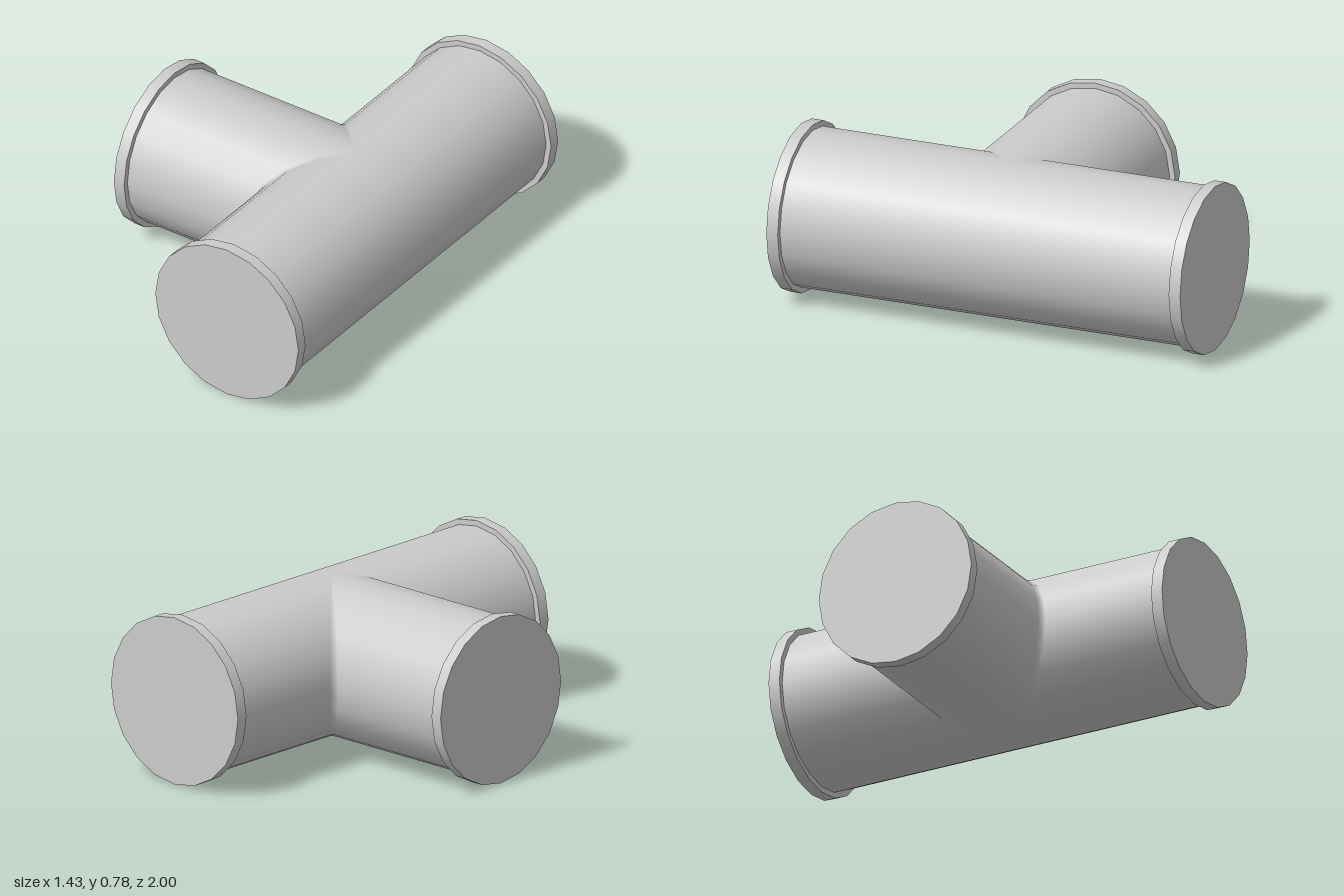
import * as THREE from 'three';

const SIDES = 20;
const R = 0.362;          // pipe radius
const FLANGE_R = 0.388;
const FLANGE_L = 0.055;
const AXIS_X = 0.325;     // main pipe axis
const AXIS_Y = 0.388;
const BRANCH_Z = 0.008;
const END_X = -0.713;     // outer face of the branch
const BEVEL = 0.025;      // width of the blend at the joint

// Branch pipe: mitred against the main pipe, with a small smooth blend at the seam
function branchGeometry() {
  const pos = [], nor = [], idx = [];
  for (let i = 0; i <= SIDES; i++) {
    const a = (i / SIDES) * Math.PI * 2;
    const c = Math.cos(a), s = Math.sin(a), m = Math.abs(s);
    const y = AXIS_Y + R * c, z = BRANCH_Z + R * s;
    const seam = AXIS_X - R * m;
    pos.push(END_X + FLANGE_L, y, z, seam - BEVEL * m, y, z, seam, y, z + BEVEL * s);
    nor.push(0, c, s, 0, c, s, -m, c, 0);
  }
  for (let i = 0; i < SIDES; i++) {
    for (let j = 0; j < 2; j++) {
      const p = i * 3 + j, q = p + 3;
      idx.push(p, q, q + 1, p, q + 1, p + 1);
    }
  }
  const g = new THREE.BufferGeometry();
  g.setAttribute('position', new THREE.Float32BufferAttribute(pos, 3));
  g.setAttribute('normal', new THREE.Float32BufferAttribute(nor, 3));
  g.setIndex(idx);
  return g;
}

export function createModel() {
  const group = new THREE.Group();
  const material = new THREE.MeshStandardMaterial({ color: 0xcccccc });

  const add = (name, geometry, x = 0, y = 0, z = 0) => {
    const mesh = new THREE.Mesh(geometry, material);
    mesh.name = name;
    mesh.position.set(x, y, z);
    group.add(mesh);
  };
  const flange = () => new THREE.CylinderGeometry(FLANGE_R, FLANGE_R, FLANGE_L, SIDES);

  // Straight main pipe between its two end flanges
  const main = new THREE.CylinderGeometry(R, R, 2 - 2 * FLANGE_L, SIDES, 1, true);
  add('mainPipe', main.rotateX(Math.PI / 2), AXIS_X, AXIS_Y, 0);
  for (const side of [1, -1]) {
    add(side > 0 ? 'frontFlange' : 'backFlange', flange().rotateX(Math.PI / 2),
      AXIS_X, AXIS_Y, side * (1 - FLANGE_L / 2));
  }

  // Side branch and its flange
  add('branchPipe', branchGeometry());
  add('branchFlange', flange().rotateZ(Math.PI / 2), END_X + FLANGE_L / 2, AXIS_Y, BRANCH_Z);

  return group;
}
